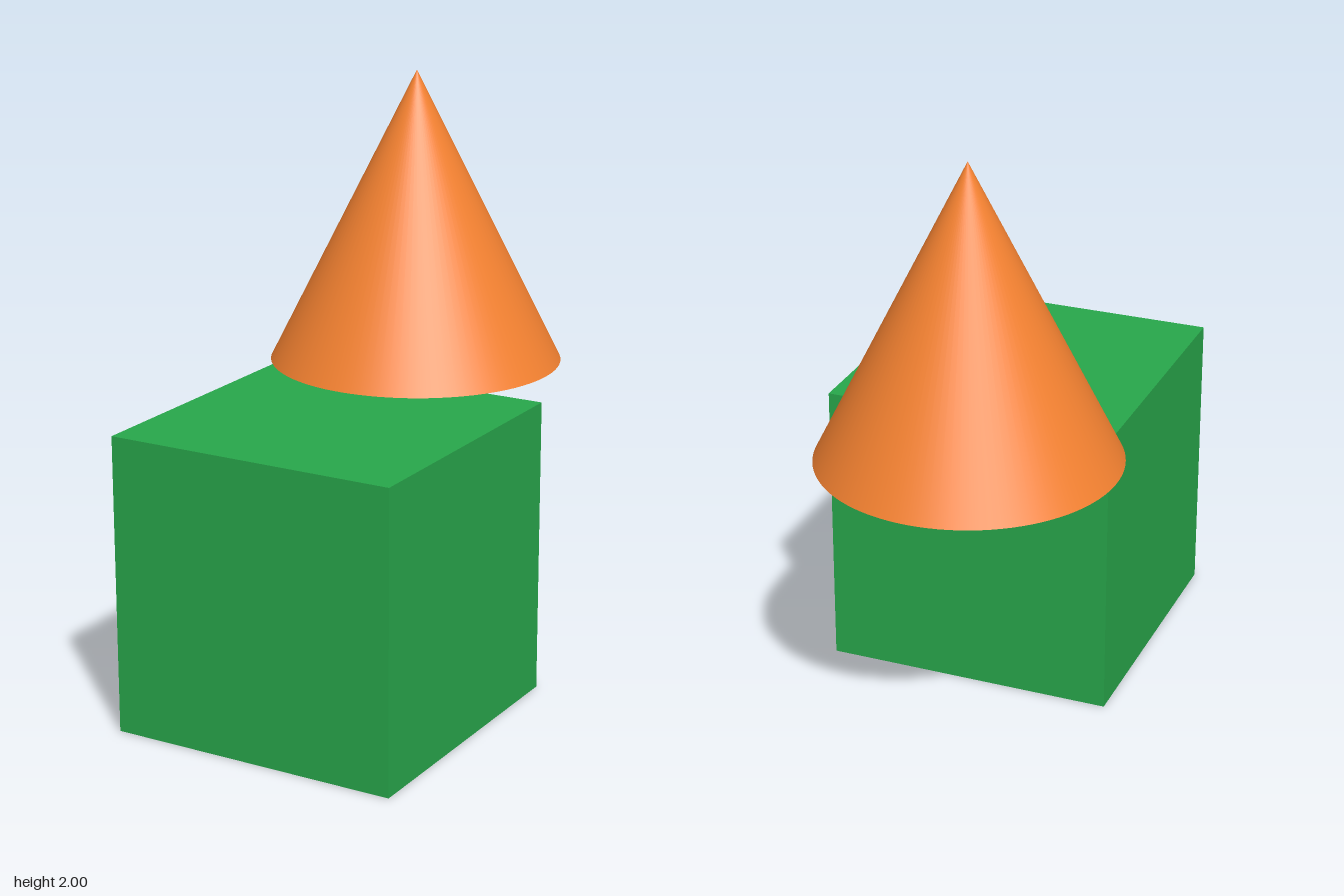
import * as THREE from 'three';

function addPart(group, name, geometry, color, x, y, z) {
  const mesh = new THREE.Mesh(geometry, new THREE.MeshStandardMaterial({ color }));
  mesh.name = name;
  mesh.position.set(x, y, z);
  group.add(mesh);
}

export function createModel() {
  const group = new THREE.Group();
  group.name = 'coneOnCube';

  // Unit cube on the ground, towards the front
  addPart(group, 'cube', new THREE.BoxGeometry(1, 1, 1), 0x28a74b, 0.06, 0.5, 0.385);

  // Smooth cone level with the cube's top, overhanging its back edge
  addPart(group, 'cone', new THREE.ConeGeometry(0.5, 1, 96), 0xf58231, -0.062, 1.5, -0.385);

  return group;
}
